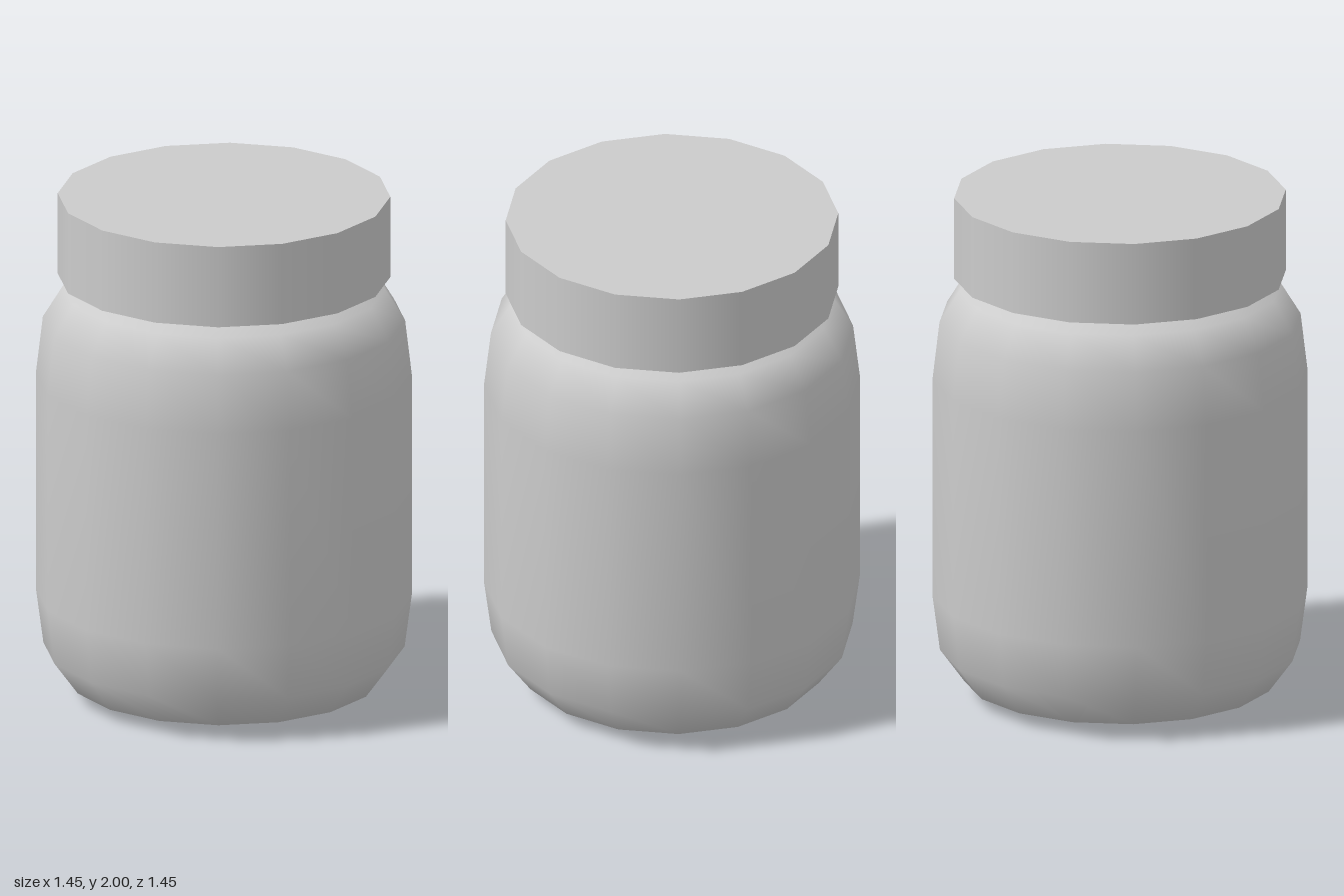
import * as THREE from 'three';

const SIDES = 16;

export function createModel() {
  const group = new THREE.Group();
  const material = new THREE.MeshStandardMaterial({ color: 0xcccccc });
  const add = (name, geometry, y = 0) => {
    const mesh = new THREE.Mesh(geometry, material);
    mesh.name = name;
    mesh.position.y = y;
    group.add(mesh);
  };

  // Rounded jar wall, from the base rim up to the shoulder under the lid
  const profile = [
    [0.44, 0], [0.6, 0.05], [0.695, 0.18], [0.724, 0.4],
    [0.724, 1.27], [0.697, 1.5], [0.62, 1.625], [0.44, 1.68],
  ].map(([r, y]) => new THREE.Vector2(r, y));
  add('jarBody', new THREE.LatheGeometry(profile, SIDES));

  // Flat base, facing down
  add('jarBase', new THREE.CircleGeometry(0.44, SIDES).rotateX(Math.PI / 2));

  // Screw lid
  add('lid', new THREE.CylinderGeometry(0.64, 0.64, 0.325, SIDES), 1.8375);

  return group;
}
